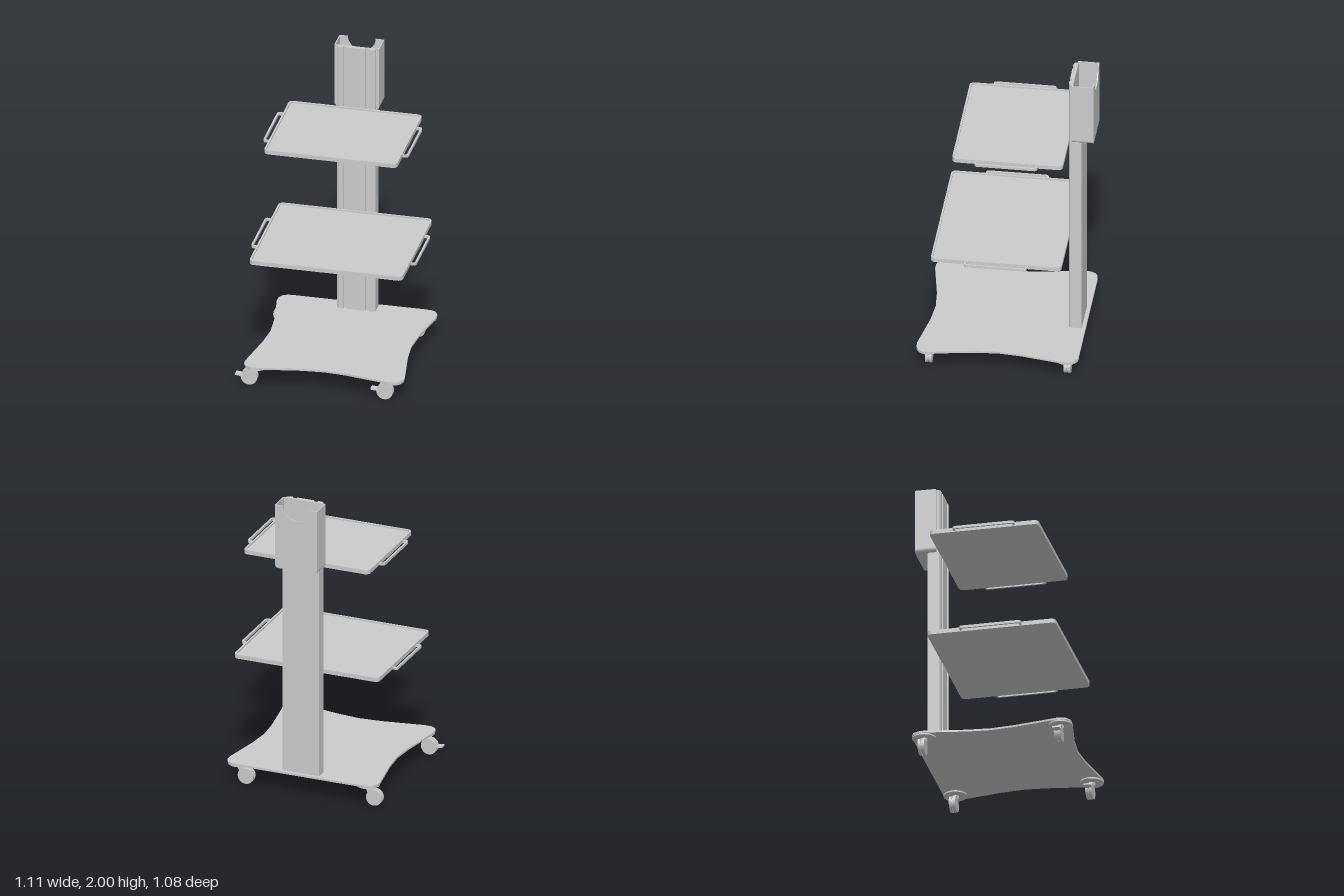
import * as THREE from 'three';

const CX = 0.02; // centre line of the trolley
const mat = new THREE.MeshStandardMaterial({ color: 0xcccccc, side: THREE.DoubleSide });

function add(parent, name, geometry) {
  const mesh = new THREE.Mesh(geometry, mat);
  mesh.name = name;
  parent.add(mesh);
  return mesh;
}

// Extrude a plan drawn in (x, z) between two heights
function plan(shape, y0, y1) {
  const g = new THREE.ExtrudeGeometry(shape, { depth: y1 - y0, bevelEnabled: false, curveSegments: 6 });
  return g.rotateX(Math.PI / 2).translate(0, y1, 0);
}

// Extrude an elevation drawn in (x, y) between two depths
function elevation(shape, z0, z1) {
  const g = new THREE.ExtrudeGeometry(shape, { depth: z1 - z0, bevelEnabled: false, curveSegments: 16 });
  return g.translate(0, 0, z0);
}

function poly(points) {
  return new THREE.Shape(points.map(([x, y]) => new THREE.Vector2(x, y)));
}

function roundRect(x0, y0, x1, y1, r) {
  const s = new THREE.Shape();
  s.moveTo(x0 + r, y0);
  s.lineTo(x1 - r, y0).absarc(x1 - r, y0 + r, r, -Math.PI / 2, 0);
  s.lineTo(x1, y1 - r).absarc(x1 - r, y1 - r, r, 0, Math.PI / 2);
  s.lineTo(x0 + r, y1).absarc(x0 + r, y1 - r, r, Math.PI / 2, Math.PI);
  s.lineTo(x0, y0 + r).absarc(x0 + r, y0 + r, r, Math.PI, Math.PI * 1.5);
  return s;
}

// Base plate with hollowed sides and front, straight back
function makeBase() {
  const half = [
    [0, 0.477], [0.15, 0.49], [0.42, 0.538], [0.465, 0.537], [0.498, 0.52], [0.514, 0.49], [0.515, 0.455],
    [0.468, 0.17], [0.455, 0.02], [0.468, -0.13], [0.515, -0.4], [0.512, -0.44], [0.495, -0.472],
    [0.465, -0.487], [0.42, -0.49],
  ];
  const left = half.map(([x, z]) => [CX + x, z]);
  const right = half.slice(1).reverse().map(([x, z]) => [CX - x, z]);
  return plan(poly([...left, ...right]), 0.141, 0.154);
}

// Shelf tray: floor, raised rim and a loop handle on each side
function makeShelf(name, halfW, zFront, y0, handleZ0, handleZ1) {
  const shelf = new THREE.Group();
  shelf.name = name;
  const zBack = -0.385, y1 = y0 + 0.028, t = 0.012;
  const outline = () => roundRect(CX - halfW, zBack, CX + halfW, zFront, 0.03);
  add(shelf, 'trayFloor', plan(outline(), y0, y0 + 0.018));
  const rim = outline();
  rim.holes.push(roundRect(CX - halfW + t, zBack + t, CX + halfW - t, zFront - t, 0.02));
  add(shelf, 'trayRim', plan(rim, y0 + 0.018, y1));
  for (const s of [-1, 1]) {
    const inner = CX + s * (halfW - 0.004), outer = CX + s * (halfW + 0.039);
    const x0 = Math.min(inner, outer), x1 = Math.max(inner, outer);
    const loop = roundRect(x0, handleZ0, x1, handleZ1, 0.018);
    const hx0 = s < 0 ? x0 + t : x0 + 0.003, hx1 = s < 0 ? x1 - 0.003 : x1 - t;
    loop.holes.push(roundRect(hx0, handleZ0 + t, hx1, handleZ1 - t, 0.01));
    add(shelf, s < 0 ? 'rightHandle' : 'leftHandle', plan(loop, y0 + 0.005, y0 + 0.022));
  }
  return shelf;
}

// Column plan: chamfered front with two slots
function columnPlan(zBack) {
  const half = [
    [0, -0.382], [0.058, -0.382], [0.058, -0.397], [0.084, -0.397], [0.084, -0.382],
    [0.108, -0.382], [0.125, -0.392], [0.125, zBack],
  ];
  const left = half.map(([x, z]) => [CX + x, z]);
  const right = half.slice(1).reverse().map(([x, z]) => [CX - x, z]);
  return poly([...left, ...right]);
}

// Open-topped holder box behind the column head
function makeHolder() {
  const holder = new THREE.Group();
  holder.name = 'holderBox';
  const w = 0.145, y0 = 1.57, y1 = 2, t = 0.007, r = 0.025, x0 = CX - w, x1 = CX + w;
  const sides = new THREE.Shape();
  sides.moveTo(x0, y1);
  sides.lineTo(x0, y0 + r).absarc(x0 + r, y0 + r, r, Math.PI, Math.PI * 1.5);
  sides.lineTo(x1 - r, y0).absarc(x1 - r, y0 + r, r, -Math.PI / 2, 0);
  sides.lineTo(x1, y1).lineTo(x1 - t, y1);
  sides.lineTo(x1 - t, y0 + r).absarc(x1 - r, y0 + r, r - t, 0, -Math.PI / 2, true);
  sides.lineTo(x0 + r, y0 + t).absarc(x0 + r, y0 + r, r - t, -Math.PI / 2, -Math.PI, true);
  sides.lineTo(x0 + t, y1);
  add(holder, 'sidesAndFloor', elevation(sides, -0.536, -0.407));

  const wall = (notch) => {
    const s = new THREE.Shape();
    s.moveTo(x0, y1);
    s.lineTo(x0, y0 + r).absarc(x0 + r, y0 + r, r, Math.PI, Math.PI * 1.5);
    s.lineTo(x1 - r, y0).absarc(x1 - r, y0 + r, r, -Math.PI / 2, 0);
    s.lineTo(x1, y1);
    if (notch) s.lineTo(CX + notch, y1).absarc(CX, y1, notch, 0, -Math.PI, true);
    return s;
  };
  add(holder, 'backWall', elevation(wall(0.09), -0.543, -0.536));
  add(holder, 'frontWall', elevation(wall(0), -0.412, -0.406));
  return holder;
}

// Twin-wheel swivel caster, trailing towards -x
function makeCaster(name, x, z, brake) {
  const caster = new THREE.Group();
  caster.name = name;
  add(caster, 'mountingDisc', new THREE.CylinderGeometry(0.075, 0.075, 0.01, 24).translate(0, 0.136, 0));
  add(caster, 'swivelCollar', new THREE.CylinderGeometry(0.023, 0.023, 0.022, 16).translate(0, 0.121, 0));
  const wx = -0.047, wy = 0.055;
  const arm = add(caster, 'fork', new THREE.BoxGeometry(0.038, 0.085, 0.026));
  arm.position.set(-0.018, 0.092, 0);
  arm.rotation.z = -0.45;
  for (const s of [-1, 1]) {
    const wheel = add(caster, 'wheel', new THREE.CylinderGeometry(0.053, 0.053, 0.017, 24).rotateX(Math.PI / 2));
    wheel.position.set(wx, wy, s * 0.0125);
  }
  add(caster, 'hub', new THREE.CylinderGeometry(0.044, 0.044, 0.01, 20).rotateX(Math.PI / 2).translate(wx, wy, 0));
  if (brake) {
    const pedal = add(caster, 'brakePedal', new THREE.BoxGeometry(0.055, 0.01, 0.044));
    pedal.position.set(-0.11, 0.062, 0);
    pedal.rotation.z = -0.1;
  }
  caster.position.set(x, 0, z);
  return caster;
}

export function createModel() {
  const model = new THREE.Group();
  model.name = 'equipmentTrolley';

  add(model, 'basePlate', makeBase());
  for (const s of [-1, 1]) {
    const side = s < 0 ? 'Right' : 'Left';
    model.add(makeCaster('front' + side + 'Caster', CX + s * 0.438, 0.465, true));
    model.add(makeCaster('back' + side + 'Caster', CX + s * 0.438, -0.415, false));
  }

  // Full column up to the holder, then only its front skin
  add(model, 'column', plan(columnPlan(-0.465), 0.154, 1.572));
  add(model, 'columnHead', plan(columnPlan(-0.41), 1.572, 2));
  model.add(makeHolder());

  model.add(makeShelf('lowerShelf', 0.495, 0.443, 0.827, -0.17, 0.228));
  model.add(makeShelf('upperShelf', 0.43, 0.317, 1.553, -0.228, 0.17));
  return model;
}
